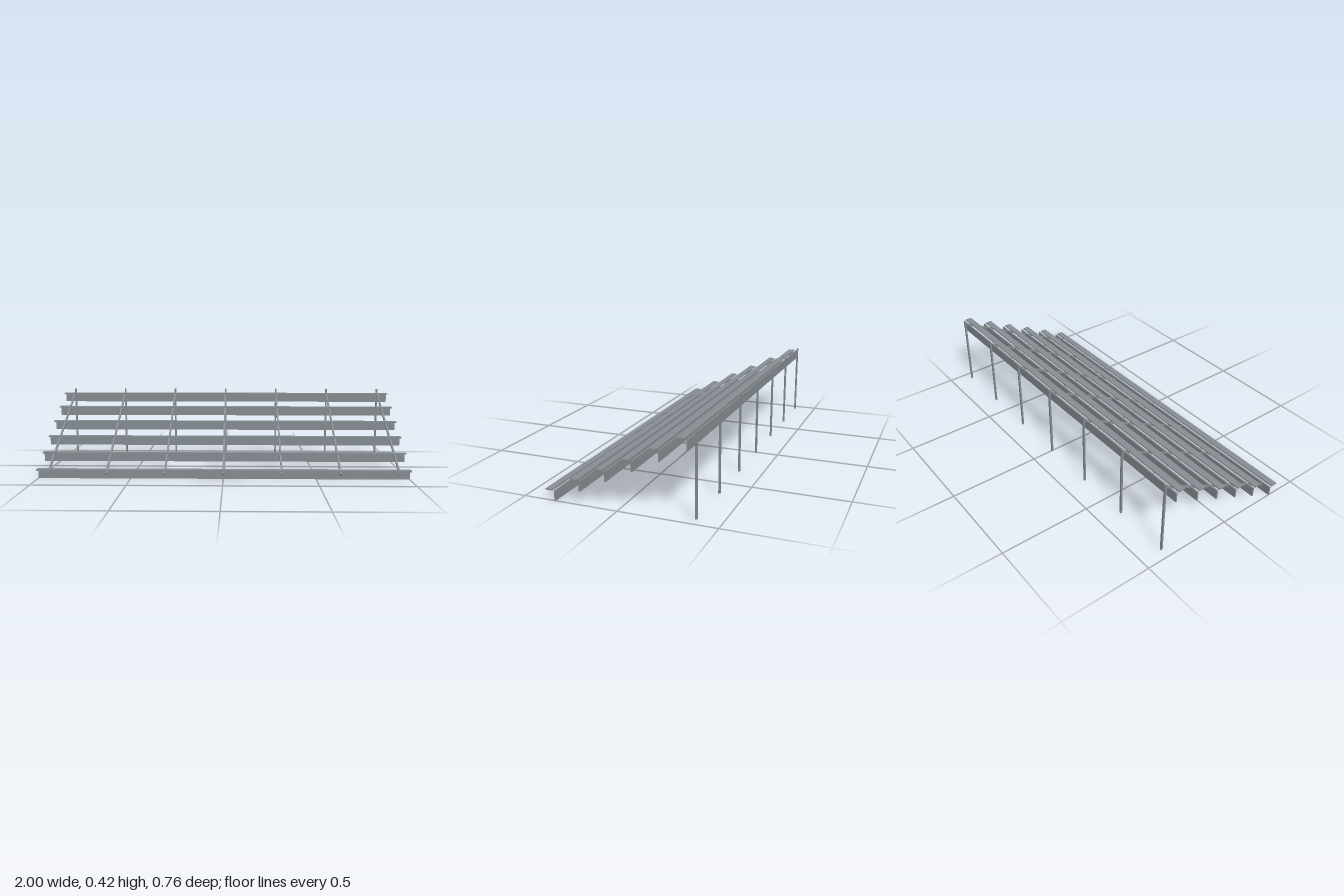
import * as THREE from 'three';

export function createModel() {
  const model = new THREE.Group();
  const steel = new THREE.MeshStandardMaterial({ color: 0x878d92 });
  steel.name = 'grey steel';

  const addBox = (name, size, position, tilt = 0) => {
    const mesh = new THREE.Mesh(new THREE.BoxGeometry(...size), steel);
    mesh.name = name;
    mesh.position.set(...position);
    mesh.rotation.x = tilt;
    model.add(mesh);
  };

  // Six rising rows, each a flat seat plank with an upright board behind it
  for (let i = 0; i < 6; i++) {
    const y = i * 0.0685, z = -i * 0.1368;
    addBox('seatPlank', [2, 0.007, 0.036], [0, 0.0535 + y, 0.362 + z]);
    addBox('riserBoard', [2, 0.053, 0.008], [0, 0.0265 + y, 0.331 + z]);
  }

  // Seven sloping beams, each with a tall post at the back
  const low = { y: 0.028, z: 0.347 }, high = { y: 0.395, z: -0.358 };
  const rise = high.y - low.y, run = low.z - high.z;
  for (let i = -3; i <= 3; i++) {
    const x = i * 0.315;
    addBox('slopingBeam', [0.01, 0.01, Math.hypot(rise, run)],
      [x, (low.y + high.y) / 2, (low.z + high.z) / 2], Math.atan2(rise, run));
    addBox('rearPost', [0.01, 0.421, 0.01], [x, 0.2105, -0.374]);
  }
  return model;
}
